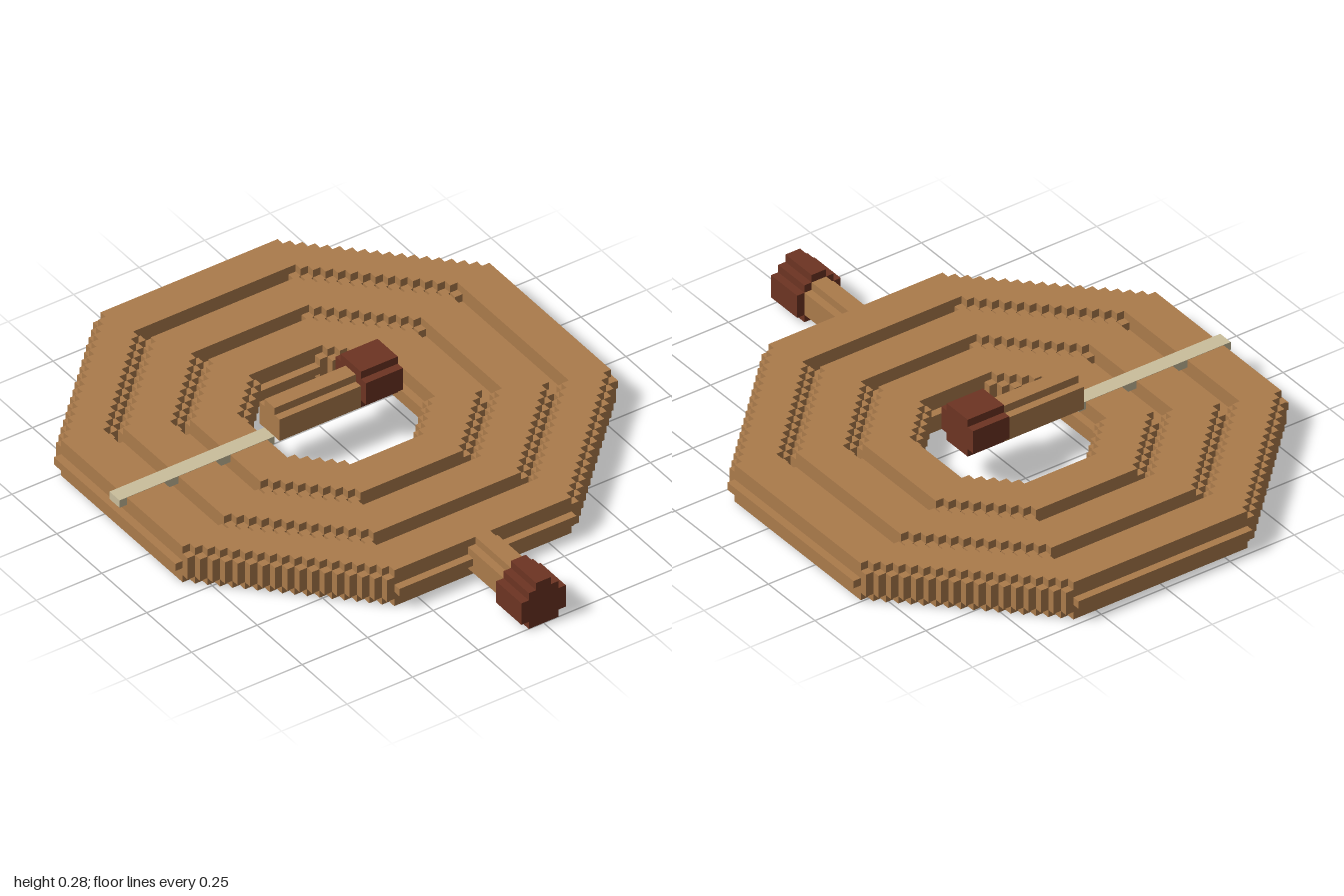
import * as THREE from 'three';

const U = 2 / 71;        // one block
const CZ = -1 + 30 * U;  // centre of the octagons along z

const wood = new THREE.MeshStandardMaterial({ color: 0xab7b4b });
wood.name = 'wood';
const darkWood = new THREE.MeshStandardMaterial({ color: 0x6d3422 });
darkWood.name = 'darkWood';
const thread = new THREE.MeshStandardMaterial({ color: 0xcabe9c });
thread.name = 'thread';

// Octagon with stair-stepped diagonals: half width r, cells kept where i + j <= sum
function steppedOctagon(r, sum) {
  const a = sum - r + 2;
  const quarter = [];
  for (let k = 0; a + k <= r; k++) {
    quarter.push([a + k, r - k]);
    if (a + k < r) quarter.push([a + k, r - k - 1]);
  }
  const points = [];
  for (let q = 0; q < 4; q++) {
    for (const [x, y] of quarter) {
      const p = [[x, y], [y, -x], [-x, -y], [-y, x]][q];
      points.push(new THREE.Vector2(p[0] * U, p[1] * U));
    }
  }
  return points;
}

// One flat layer of a ring, from row y0 to row y1; the hole winds the other way
function ringLayer(outer, inner, y0, y1) {
  const shape = new THREE.Shape(steppedOctagon(...outer));
  shape.holes.push(new THREE.Path(steppedOctagon(...inner).reverse()));
  const geometry = new THREE.ExtrudeGeometry(shape, { depth: (y1 - y0) * U, bevelEnabled: false });
  geometry.rotateX(-Math.PI / 2);
  const mesh = new THREE.Mesh(geometry, wood);
  mesh.position.set(0, y0 * U, CZ);
  return mesh;
}

// Box between two corners in block units, measured from the octagon centre
function block(name, material, [x0, y0, z0], [x1, y1, z1]) {
  const mesh = new THREE.Mesh(
    new THREE.BoxGeometry((x1 - x0) * U, (y1 - y0) * U, (z1 - z0) * U), material);
  mesh.position.set((x0 + x1) / 2 * U, (y0 + y1) / 2 * U, CZ + (z0 + z1) / 2 * U);
  mesh.name = name;
  return mesh;
}

// Stepped bar: each row is [bottom, top, halfWidth]
function bar(name, material, axis, from, to, rows) {
  const group = new THREE.Group();
  group.name = name;
  for (const [y0, y1, w] of rows) {
    group.add(axis === 'z'
      ? block(name + 'Row', material, [-w, y0, from], [w, y1, to])
      : block(name + 'Row', material, [from, y0, -w], [to, y1, w]));
  }
  return group;
}

export function createModel() {
  const model = new THREE.Group();
  model.name = 'coil';

  // Three nested rings: outer and inner [half width, diagonal sum] of the middle row
  const rings = [
    { name: 'outerRing', outer: [30, 40], inner: [23, 32] },
    { name: 'middleRing', outer: [23, 31], inner: [16, 22] },
    { name: 'innerRing', outer: [16, 21], inner: [9, 12] },
  ];
  for (const { name, outer: [ro, so], inner: [ri, si] } of rings) {
    const ring = new THREE.Group();
    ring.name = name;
    for (let row = 0; row < 5; row++) {
      const side = row === 2 ? 0 : 1;              // ridge along the straight sides
      const diagonal = row === 0 || row === 4 ? 1 : 0; // stepped edge on the diagonals
      ring.add(ringLayer([ro - side, so - diagonal], [ri + side, si + diagonal], row, row + 1));
    }
    model.add(ring);
  }

  // Front handle and its end cap
  model.add(bar('frontHandle', wood, 'z', 29, 36, [[0, 1, 1], [1, 4, 2], [4, 5, 1]]));
  model.add(bar('frontCap', darkWood, 'z', 36, 41, [[0, 1, 2], [1, 4, 3], [4, 5, 2], [5, 6, 1]]));

  // Raised handle over the centre and its end cap
  model.add(bar('centreHandle', wood, 'x', -9, 2, [[5, 8, 2], [8, 9, 1]]));
  model.add(bar('centreCap', darkWood, 'x', 2, 7, [[5, 6, 2], [6, 9, 3], [9, 10, 2]]));

  // Pale strip across the rings, bridging the grooves
  model.add(block('strip', thread, [-30, 4, -1], [-9, 5.04, 1]));

  return model;
}
